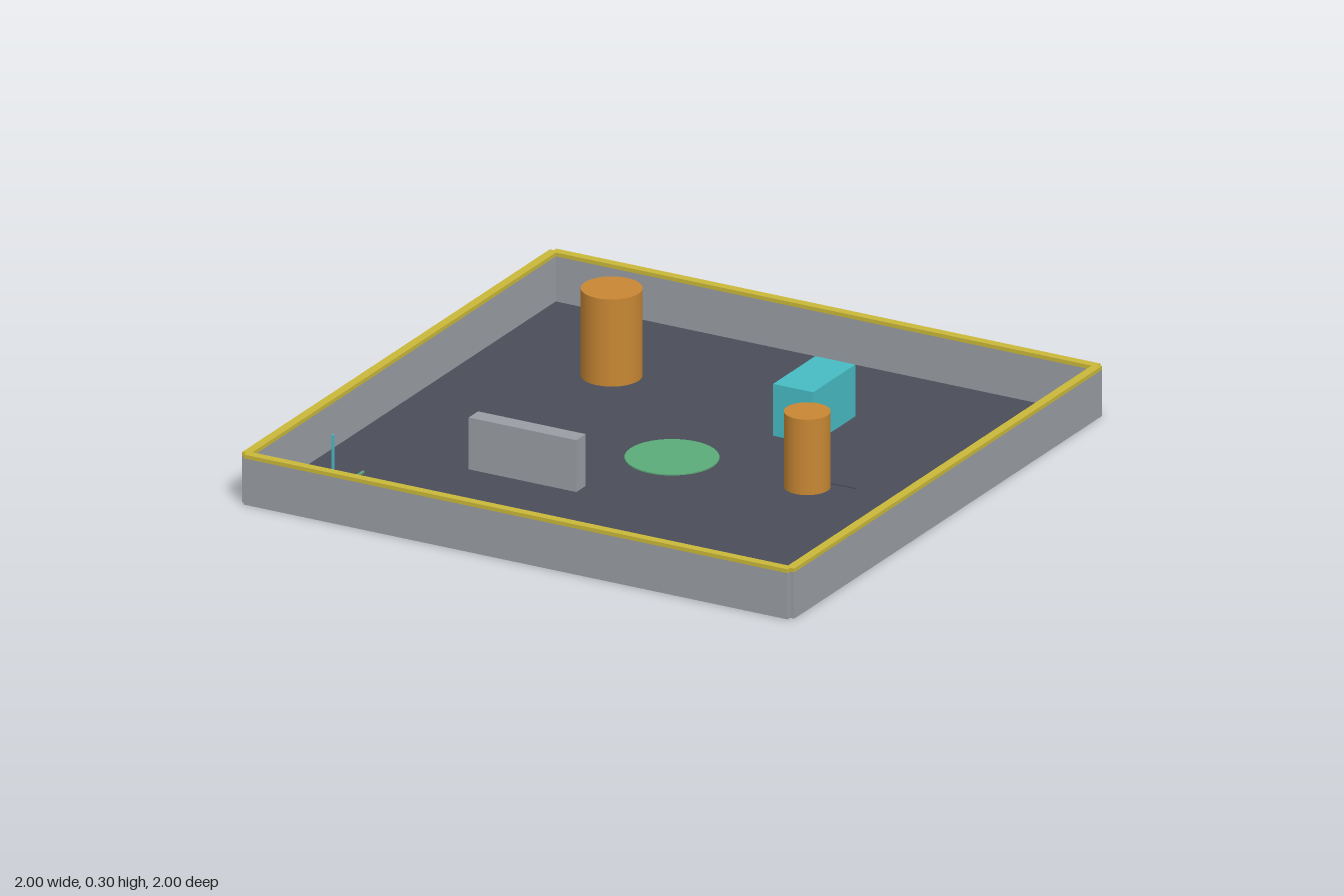
import * as THREE from 'three';

const paint = (name, color) => {
  const m = new THREE.MeshStandardMaterial({ color });
  m.name = name;
  return m;
};

export function createModel() {
  const model = new THREE.Group();
  model.name = 'arena';
  const floorMat = paint('slate', 0x4a4e59);
  const grey = paint('grey', 0x9a9da4);
  const yellow = paint('yellow', 0xc9b83a);
  const orange = paint('orange', 0xc88734);
  const cyan = paint('cyan', 0x47bbc4);
  const green = paint('green', 0x5bab79);

  const add = (name, geometry, material, x, y, z, parent = model) => {
    const mesh = new THREE.Mesh(geometry, material);
    mesh.name = name;
    mesh.position.set(x, y, z);
    parent.add(mesh);
    return mesh;
  };
  // box given by its limits on each axis
  const block = (name, mat, [x0, x1], [y0, y1], [z0, z1], parent) =>
    add(name, new THREE.BoxGeometry(x1 - x0, y1 - y0, z1 - z0), mat,
      (x0 + x1) / 2, (y0 + y1) / 2, (z0 + z1) / 2, parent);
  // upright cylinder standing between two heights
  const drum = (name, mat, x, z, r, y0, y1) =>
    add(name, new THREE.CylinderGeometry(r, r, y1 - y0, 32), mat, x, (y0 + y1) / 2, z);

  // floor slab
  block('floor', floorMat, [-0.985, 0.985], [0.001, 0.004], [-0.985, 0.985]);

  // four walls, each with a yellow top band; ends leave small corner notches
  ['frontWall', 'leftWall', 'backWall', 'rightWall'].forEach((name, i) => {
    const side = new THREE.Group();
    side.name = name;
    side.rotation.y = i * Math.PI / 2;
    block('wallPanel', grey, [-0.985, 0.985], [0, 0.157], [0.97, 1], side);
    block('wallBand', yellow, [-0.985, 0.985], [0.157, 0.17], [0.97, 1], side);
    model.add(side);
  });

  // obstacles and goal spot
  drum('largePillar', orange, -0.51, -0.515, 0.098, 0.002, 0.3);
  drum('smallPillar', orange, 0.49, 0, 0.074, 0.002, 0.26);
  drum('goalDisc', green, 0, 0, 0.15, 0.002, 0.008);
  block('crate', cyan, [0.185, 0.33], [0.002, 0.18], [-0.59, -0.32]);
  block('barrier', grey, [-0.51, -0.12], [0.002, 0.18], [0.34, 0.4]);

  // flat heading marker beside the small pillar
  const triangle = new THREE.Shape([
    new THREE.Vector2(0.53, 0.05), new THREE.Vector2(0.64, 0.05), new THREE.Vector2(0.575, 0.145)]);
  const marker = add('headingMarker',
    new THREE.ExtrudeGeometry(triangle, { depth: 0.004, bevelEnabled: false }), floorMat, 0, 0.006, 0);
  marker.rotation.x = -Math.PI / 2;

  // three thin axis rods in the front corner
  const axes = new THREE.Group();
  axes.name = 'axisMarker';
  axes.position.set(-0.785, 0.006, 0.782);
  const t = 0.004;
  block('axisAcross', orange, [0, 0.195], [-t, t], [-t, t], axes);
  block('axisBack', green, [-t, t], [-t, t], [-0.195, 0], axes);
  block('axisUp', cyan, [-t, t], [0, 0.195], [-t, t], axes);
  model.add(axes);

  return model;
}
